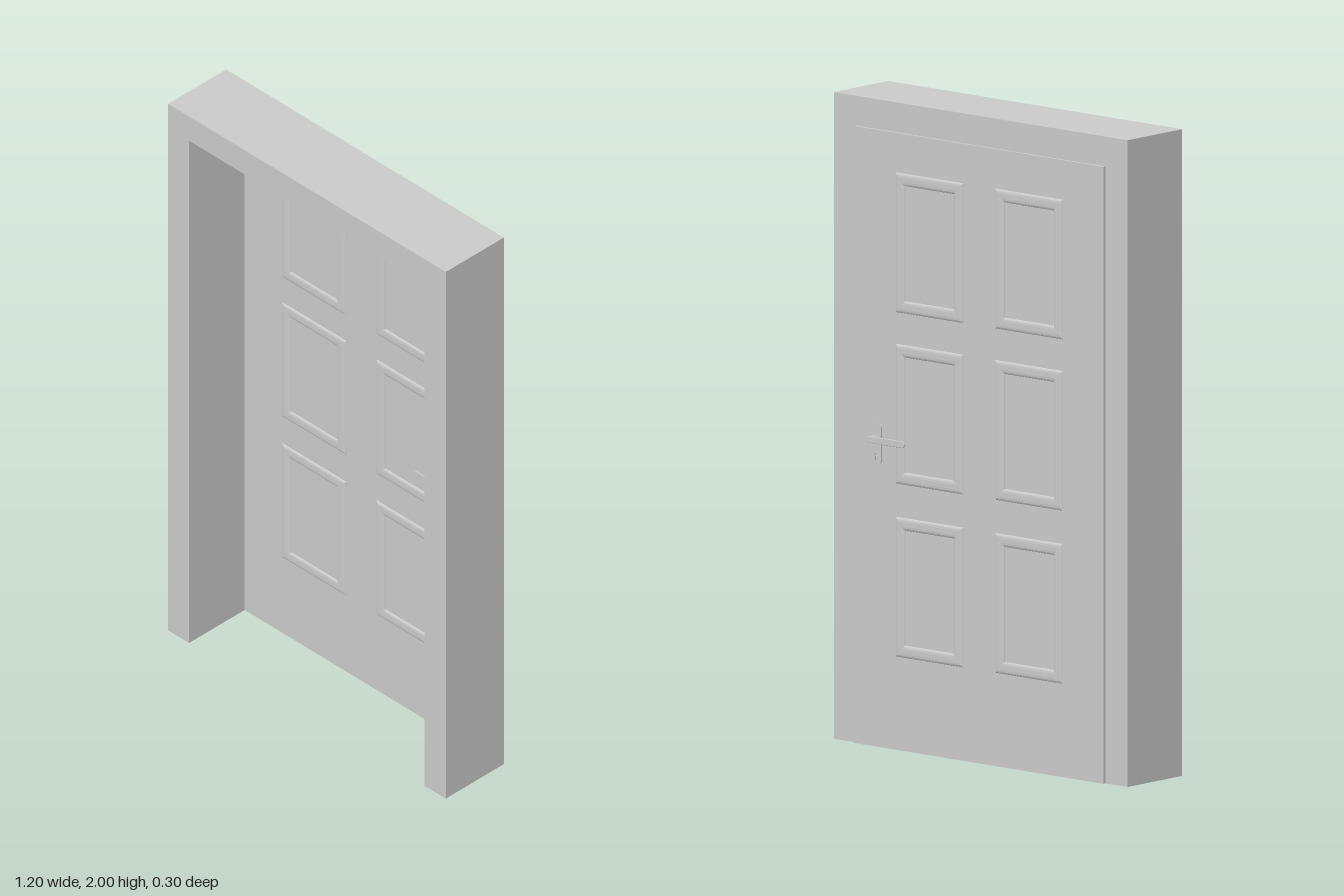
import * as THREE from 'three';

const material = new THREE.MeshStandardMaterial({ color: 0xcccccc, flatShading: true });
const smooth = new THREE.MeshStandardMaterial({ color: 0xcccccc });

const DOOR_BACK = -0.108, DOOR_FRONT = -0.088;
const DOOR_MID = (DOOR_BACK + DOOR_FRONT) / 2;

function add(parent, name, geometry, mat = material) {
  const mesh = new THREE.Mesh(geometry, mat);
  mesh.name = name;
  parent.add(mesh);
  return mesh;
}

// Closed outline of a rectangle, usable as a shape or a hole
function rect(Type, x0, y0, x1, y1) {
  return new Type([[x0, y0], [x1, y0], [x1, y1], [x0, y1]].map(([x, y]) => new THREE.Vector2(x, y)));
}

// Rounded rectangle centred on the origin
function roundedRect(w, h, r) {
  const s = new THREE.Shape();
  const x = w / 2 - r, y = h / 2 - r;
  s.absarc(x, y, r, 0, Math.PI / 2);
  s.absarc(-x, y, r, Math.PI / 2, Math.PI);
  s.absarc(-x, -y, r, Math.PI, Math.PI * 1.5);
  s.absarc(x, -y, r, Math.PI * 1.5, Math.PI * 2);
  s.closePath();
  return s;
}

// Moulding ring running through the leaf, proud on both faces
function moulding(w, h, band) {
  const shape = rect(THREE.Shape, -w / 2, -h / 2, w / 2, h / 2);
  shape.holes.push(rect(THREE.Path, -w / 2 + band, -h / 2 + band, w / 2 - band, h / 2 - band));
  const depth = DOOR_FRONT - DOOR_BACK;
  return new THREE.ExtrudeGeometry(shape, {
    depth, bevelThickness: 0.005, bevelSize: 0.012, bevelOffset: -0.012, bevelSegments: 3,
  }).translate(0, 0, -depth / 2);
}

// Handle set for one face; local z = 0 is the door face, +z points away from it
function handleSet() {
  const set = new THREE.Group();

  const plateShape = roundedRect(0.044, 0.125, 0.012);
  const keyhole = new THREE.Path();
  keyhole.absarc(0, -0.035, 0.005, -Math.PI / 3, Math.PI * 4 / 3);
  keyhole.lineTo(-0.0025, -0.052);
  keyhole.lineTo(0.0025, -0.052);
  keyhole.closePath();
  plateShape.holes.push(keyhole);
  const plate = add(set, 'handlePlate',
    new THREE.ExtrudeGeometry(plateShape, { depth: 0.003, bevelEnabled: false, curveSegments: 6 }));
  plate.position.set(0.417, 0.938, 0);

  const stem = add(set, 'handleStem', new THREE.CylinderGeometry(0.007, 0.007, 0.041, 20).rotateX(Math.PI / 2), smooth);
  stem.position.set(0.417, 0.957, 0.0205);

  const lever = add(set, 'handleLever',
    new THREE.ExtrudeGeometry(roundedRect(0.16, 0.021, 0.0104), {
      depth: 0.002, bevelThickness: 0.001, bevelSize: 0.002, bevelOffset: -0.002, bevelSegments: 2, curveSegments: 8,
    }));
  lever.position.set(0.345, 0.957, 0.041);
  return set;
}

export function createModel() {
  const model = new THREE.Group();
  model.name = 'panelDoor';

  // Deep surround: two jambs and a head
  const surround = new THREE.Shape();
  [[-0.6, 0], [-0.51, 0], [-0.51, 1.908], [0.508, 1.908], [0.508, 0], [0.6, 0], [0.6, 2], [-0.6, 2]]
    .forEach(([x, y], i) => (i ? surround.lineTo(x, y) : surround.moveTo(x, y)));
  const frame = add(model, 'doorFrame', new THREE.ExtrudeGeometry(surround, { depth: 0.248, bevelEnabled: false }));
  frame.position.z = -0.098;

  // Door leaf at the back of the opening
  const leaf = add(model, 'doorLeaf', new THREE.BoxGeometry(1.018, 1.908, DOOR_FRONT - DOOR_BACK));
  leaf.position.set(-0.001, 0.954, DOOR_MID);

  // Six moulded panels
  const ring = moulding(0.276, 0.432, 0.038);
  for (const x of [-0.208, 0.199]) {
    for (const y of [0.505, 1.04, 1.57]) {
      add(model, 'panelMoulding', ring).position.set(x, y, DOOR_MID);
    }
  }

  // Matching handles on both faces
  const front = handleSet();
  front.name = 'frontHandle';
  front.position.z = DOOR_FRONT;
  const back = handleSet();
  back.name = 'backHandle';
  back.scale.z = -1;
  back.position.z = DOOR_BACK;
  model.add(front, back);

  return model;
}
